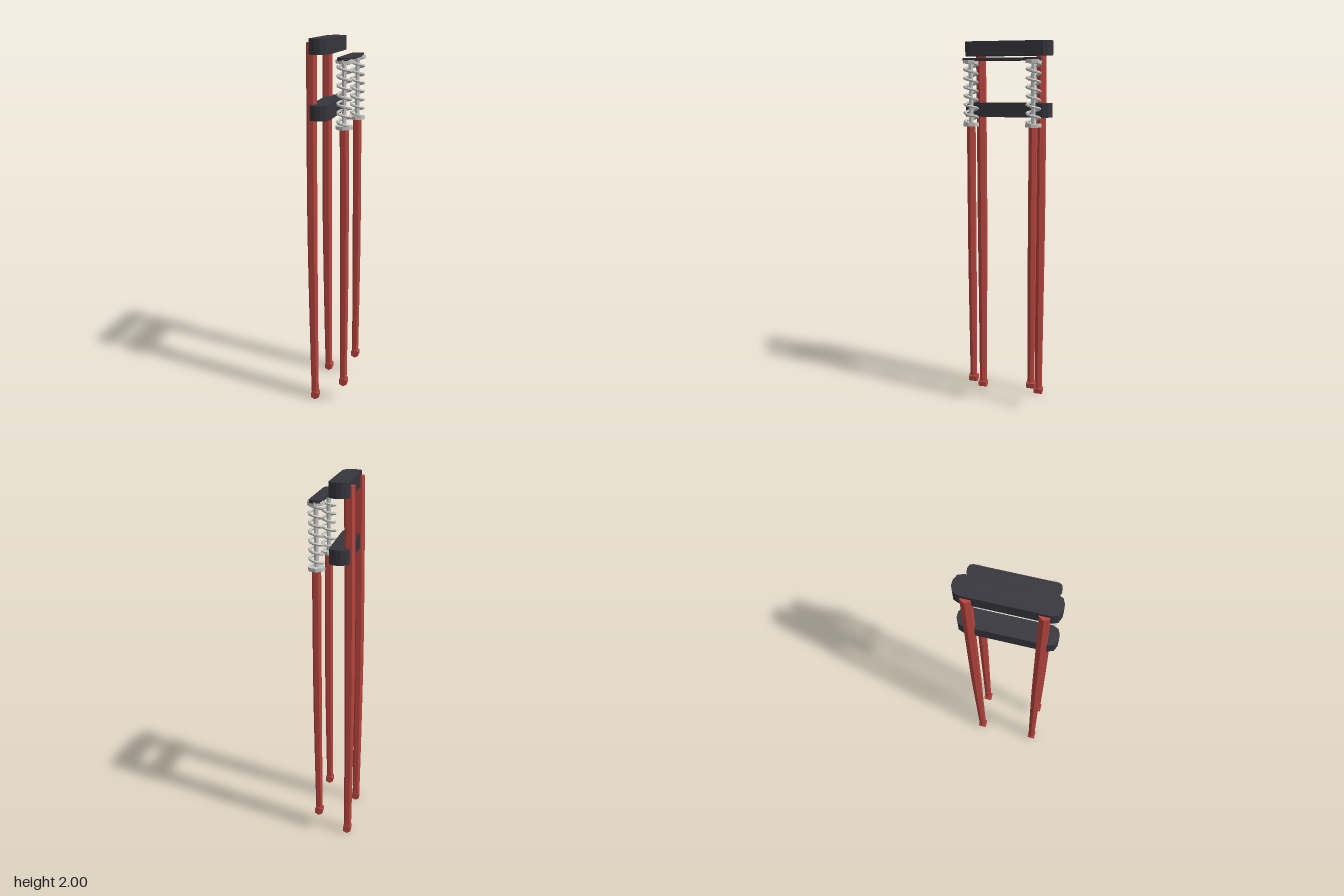
import * as THREE from 'three';

const mat = (name, color) => {
  const m = new THREE.MeshStandardMaterial({ color, flatShading: true });
  m.name = name;
  return m;
};

export function createModel() {
  const red = mat('red paint', 0xb5443e);
  const dark = mat('dark metal', 0x36353d);
  const steel = mat('steel', 0xc4c4c2);
  const root = new THREE.Group();
  root.name = 'springFork';

  const add = (name, geo, material, x = 0, y = 0, z = 0, parent = root) => {
    const m = new THREE.Mesh(geo, material);
    m.name = name;
    m.position.set(x, y, z);
    parent.add(m);
    return m;
  };

  // Six-sided leg that bows sideways and changes radius along its height
  const leg = (y0, y1, bow, [rBottom, rMid, rTop]) => {
    const h = y1 - y0;
    const g = new THREE.CylinderGeometry(1, 1, h, 6, 8).rotateY(Math.PI / 2);
    const p = g.attributes.position;
    for (let i = 0; i < p.count; i++) {
      const t = p.getY(i) / h + 0.5;
      const r = t < 0.5
        ? THREE.MathUtils.lerp(rBottom, rMid, t * 2)
        : THREE.MathUtils.lerp(rMid, rTop, t * 2 - 1);
      p.setXYZ(i, p.getX(i) * r + bow * 4 * t * (1 - t), p.getY(i) + (y0 + y1) / 2, p.getZ(i) * r);
    }
    g.computeVertexNormals();
    return g;
  };

  // Flat bar with faceted rounded ends, long in z, standing on y = 0
  const bar = (halfX, halfZ, endZ, height) => {
    const s = new THREE.Shape();
    const pts = [];
    const end = [[1, 0], [0.78, 0.7], [0.25, 1], [-0.25, 1], [-0.78, 0.7], [-1, 0]];
    for (const side of [1, -1])
      for (const [a, b] of end)
        pts.push(new THREE.Vector2(side * a * halfX, side * (halfZ - endZ + b * endZ)));
    s.setFromPoints(pts);
    return new THREE.ExtrudeGeometry(s, { depth: height, bevelEnabled: false }).rotateX(-Math.PI / 2);
  };

  // Clamps on the rear legs and the thin bridge over the springs
  const clamp = bar(0.0515, 0.24, 0.04, 0.075);
  add('upperClamp', clamp, dark, -0.0435, 1.925);
  add('lowerClamp', clamp, dark, -0.0435, 1.605);
  add('springBridge', bar(0.0315, 0.212, 0.02, 0.015), dark, 0.0765, 1.896);

  const rearLeg = leg(0.025, 1.98, -0.006, [0.021, 0.028, 0.0275]);
  const frontLeg = leg(0.13, 1.57, 0.003, [0.019, 0.0235, 0.0235]);
  const eye = new THREE.CylinderGeometry(0.025, 0.025, 0.045, 6).rotateX(Math.PI / 2);
  const washer = new THREE.CylinderGeometry(0.044, 0.044, 0.018, 8);
  const rod = new THREE.CylinderGeometry(0.012, 0.012, 0.34, 6);

  // Coil spring
  const turns = 7, steps = turns * 10, coilPts = [];
  for (let i = 0; i <= steps; i++) {
    const a = (i / 10) * Math.PI * 2;
    coilPts.push(new THREE.Vector3(Math.cos(a) * 0.034, 1.575 + 0.315 * i / steps, Math.sin(a) * 0.034));
  }
  const coil = new THREE.TubeGeometry(new THREE.CatmullRomCurve3(coilPts), steps, 0.0075, 6);

  for (const [side, z] of [['left', 0.17], ['right', -0.17]]) {
    const g = new THREE.Group();
    g.name = side + 'ForkSide';
    g.position.z = z;
    root.add(g);
    add('rearLeg', rearLeg, red, -0.0875, 0, 0, g);
    add('rearLegEye', eye, red, -0.086, 0.025, 0, g);
    add('frontLeg', frontLeg, red, 0.077, 0, 0, g);
    add('frontLegEye', eye, red, 0.078, 0.131, 0, g);
    add('lowerWasher', washer, steel, 0.077, 1.568, 0, g);
    add('upperWasher', washer, steel, 0.077, 1.892, 0, g);
    add('springRod', rod, steel, 0.077, 1.73, 0, g);
    add('spring', coil, steel, 0.077, 0, 0, g);
  }
  return root;
}
